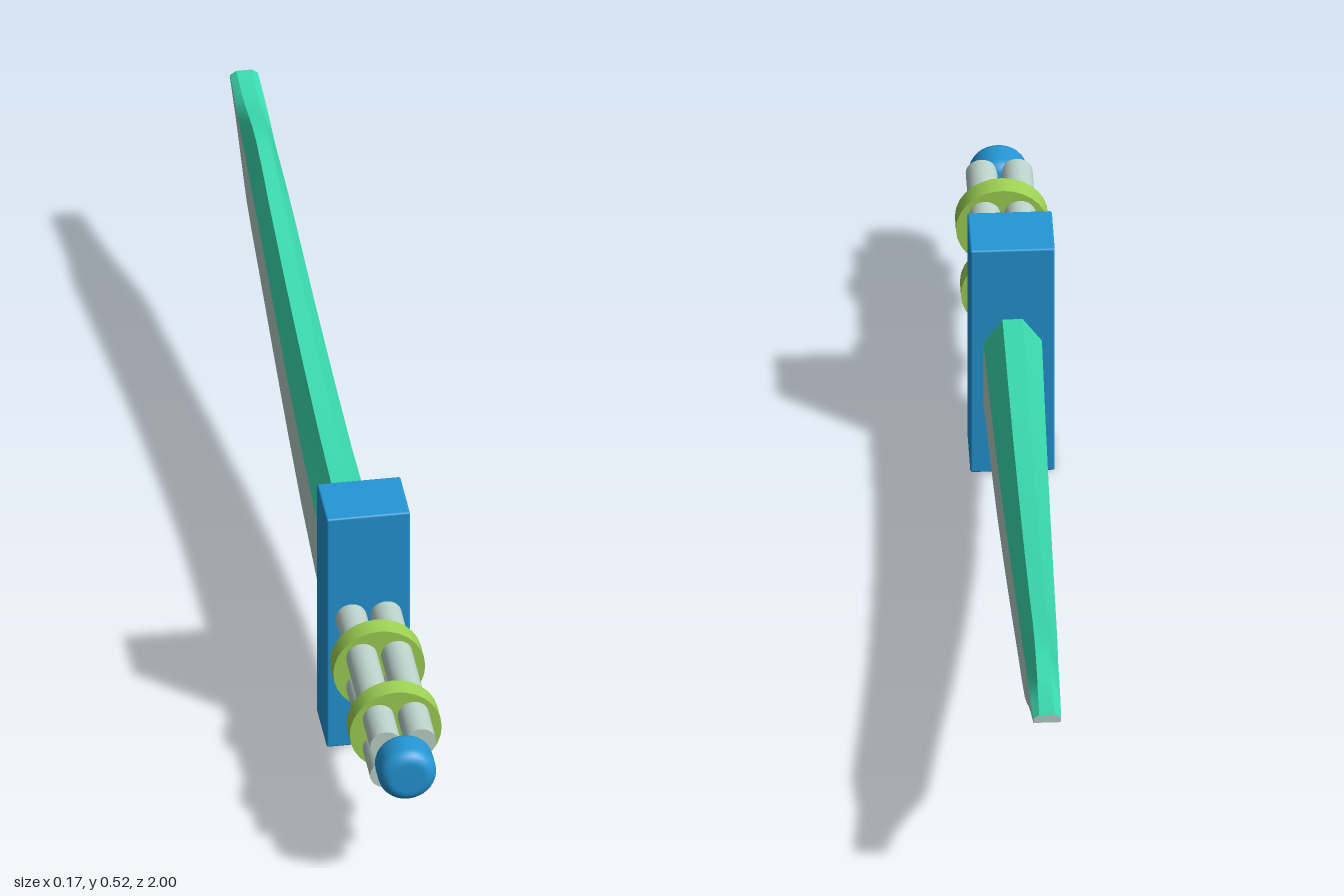
import * as THREE from 'three';
import { RoundedBoxGeometry } from 'three/addons/geometries/RoundedBoxGeometry.js';

const AXIS_Y = 0.26; // height of the grip axis

const material = (name, color) => {
  const m = new THREE.MeshStandardMaterial({ color });
  m.name = name;
  return m;
};

// Blade stations: z, bottom y, shoulder y, top y, half width, top half width
const STATIONS = [
  [0.40, 0.165, 0.306, 0.358, 0.055, 0.019],
  [0.20, 0.176, 0.310, 0.361, 0.051, 0.018],
  [0.00, 0.195, 0.321, 0.371, 0.047, 0.017],
  [-0.20, 0.229, 0.346, 0.392, 0.043, 0.016],
  [-0.40, 0.271, 0.378, 0.420, 0.039, 0.015],
  [-0.60, 0.317, 0.415, 0.456, 0.035, 0.014],
  [-0.70, 0.338, 0.430, 0.476, 0.033, 0.013],
  [-0.77, 0.354, 0.440, 0.488, 0.031, 0.013],
  [-0.82, 0.380, 0.447, 0.488, 0.030, 0.013],
  [-0.88, 0.417, 0.460, 0.480, 0.029, 0.013],
  [-0.93, 0.443, 0.469, 0.479, 0.028, 0.014],
  [-1.00, 0.470, 0.480, 0.488, 0.026, 0.015],
];

// Six-sided section, counter-clockwise seen from the front
const section = ([z, bottom, shoulder, top, w, t]) => [
  [-w, bottom, z], [w, bottom, z], [w, shoulder, z],
  [t, top, z], [-t, top, z], [-w, shoulder, z],
];

// Skins the chosen sides of the blade; each side is smooth along its length
function bladeSkin(sides, withTip) {
  const rings = STATIONS.map(section);
  const pos = [], index = [];
  for (const j of sides) {
    const start = pos.length / 3;
    rings.forEach((ring, i) => {
      pos.push(...ring[j], ...ring[(j + 1) % 6]);
      if (i === 0) return;
      const a = start + 2 * (i - 1), b = a + 1, d = a + 2, c = a + 3;
      index.push(a, d, c, a, c, b);
    });
  }
  if (withTip) {
    const start = pos.length / 3;
    rings[rings.length - 1].forEach((p) => pos.push(...p));
    for (let j = 1; j < 5; j++) index.push(start, start + j + 1, start + j);
  }
  const g = new THREE.BufferGeometry();
  g.setAttribute('position', new THREE.Float32BufferAttribute(pos, 3));
  g.setIndex(index);
  g.computeVertexNormals();
  return g;
}

export function createModel() {
  const blue = material('blue', 0x2497d6);
  const lime = material('lime', 0x9fd354);
  const steel = material('pale steel', 0xbdd4cb);
  const teal = material('teal', 0x3adbb0);

  const model = new THREE.Group();
  model.name = 'sword';
  const add = (name, geometry, mat, x = 0, y = 0, z = 0, parent = model) => {
    const mesh = new THREE.Mesh(geometry, mat);
    mesh.name = name;
    mesh.position.set(x, y, z);
    parent.add(mesh);
    return mesh;
  };
  // Cylinder lying along z
  const rod = (r, length, sides) =>
    new THREE.CylinderGeometry(r, r, length, sides).rotateX(Math.PI / 2);

  // Blade: steel body with a bevelled teal spine
  const blade = new THREE.Group();
  blade.name = 'blade';
  model.add(blade);
  add('bladeBody', bladeSkin([0, 1, 5], true), steel, 0, 0, 0, blade);
  add('bladeSpine', bladeSkin([2, 3, 4], false), teal, 0, 0, 0, blade);

  // Guard block
  add('guard', new RoundedBoxGeometry(0.158, 0.52, 0.12, 2, 0.004), blue, 0, 0.26, 0.45);

  // Grip: four rods held by two bands
  const grip = new THREE.Group();
  grip.name = 'grip';
  model.add(grip);
  for (const sx of [-1, 1]) for (const sy of [-1, 1])
    add('gripRod', rod(0.0295, 0.43, 24), steel, sx * 0.033, AXIS_Y + sy * 0.033, 0.715, grip);
  for (const z of [0.62, 0.82])
    add('gripBand', rod(0.087, 0.04, 28), lime, 0, AXIS_Y, z, grip);

  // Pommel: a short barrel with rounded ends
  const profile = [new THREE.Vector2(0, 0.915), new THREE.Vector2(0.03, 0.915)];
  const corner = 0.024;
  for (const [zc, from] of [[0.941, -Math.PI / 2], [0.976, 0]])
    for (let i = 0; i <= 6; i++) {
      const a = from + (i / 6) * (Math.PI / 2);
      profile.push(new THREE.Vector2(0.031 + corner * Math.cos(a), zc + corner * Math.sin(a)));
    }
  profile.push(new THREE.Vector2(0, 1.0));
  add('pommel', new THREE.LatheGeometry(profile, 32).rotateX(Math.PI / 2), blue, 0, AXIS_Y, 0);

  return model;
}
